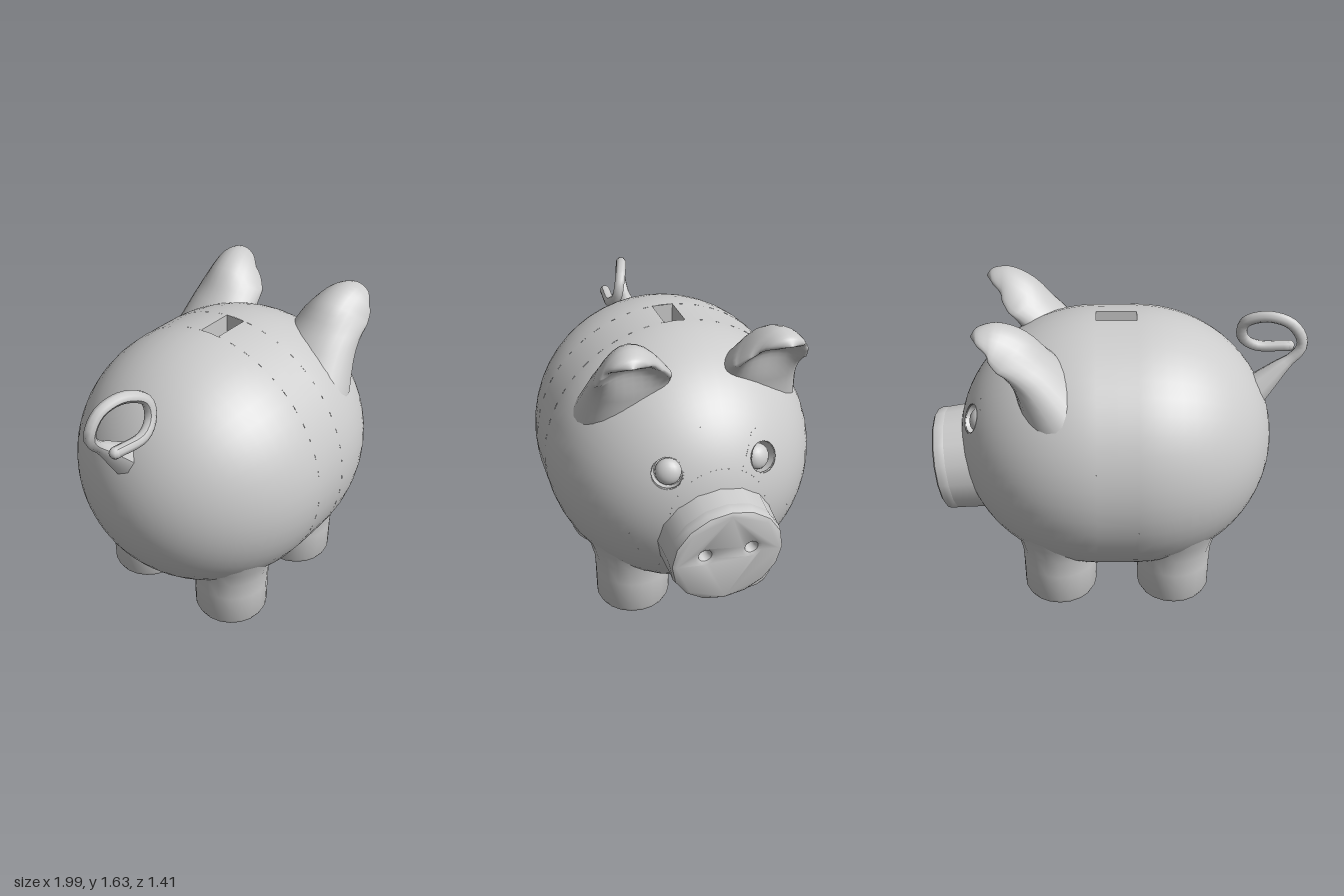
import * as THREE from 'three';
import { toCreasedNormals } from 'three/addons/utils/BufferGeometryUtils.js';
import { ParametricGeometry } from 'three/addons/geometries/ParametricGeometry.js';

const grey = new THREE.MeshStandardMaterial({ color: 0xcccccc });
const greyDouble = new THREE.MeshStandardMaterial({ color: 0xcccccc, side: THREE.DoubleSide });
const greyInside = new THREE.MeshStandardMaterial({ color: 0xcccccc, side: THREE.BackSide });
const { PI, sin, cos, abs, max } = Math;
const R = 0.705, MID = 0.21;            // body radius, length of the straight middle
const EYE_S = MID + 1.067, EYE_PHI = PI / 4, DS = 0.15, DPHI = 0.3;
const SLOT_PHI = 0.078;

function mesh(parent, name, geometry, material = grey) {
  const m = new THREE.Mesh(geometry, material);
  m.name = name;
  parent.add(m);
  return m;
}

// Barrel surface along x: s runs from rear to front, phi turns from the top towards +z
function bodyPoint(s, phi, target) {
  let x = -0.1 + s, r = R;
  if (s < 0) { x = -0.1 + 0.73 * sin(s); r = R * cos(s); }
  else if (s > MID) { x = 0.11 + 0.74 * sin(s - MID); r = R * cos(s - MID); }
  return target.set(x, 0.8 + r * cos(phi), r * sin(phi));
}

function bodyPatch(s0, s1, p0, p1, across, along) {
  return new ParametricGeometry((u, v, t) =>
    bodyPoint(s0 + (s1 - s0) * v, p0 + (p1 - p0) * u, t), across, along);
}

// Body patch around an eye, from a square outside to a round hole
function eyePatch(phi) {
  return new ParametricGeometry((u, v, t) => {
    const c = cos(u * 2 * PI), s = sin(u * 2 * PI);
    const k = (1 - v) / max(abs(c), abs(s)) + v * 0.7;
    bodyPoint(EYE_S + s * k * DS, phi + c * k * DPHI, t);
  }, 32, 4);
}

function makeBody() {
  const body = new THREE.Group();
  body.name = 'body';
  const end = PI / 2 - 0.001, sA = EYE_S - DS, sB = EYE_S + DS;
  const a = EYE_PHI - DPHI, b = EYE_PHI + DPHI;
  mesh(body, 'rearBody', bodyPatch(-end, 0, 0, 2 * PI, 48, 16));
  mesh(body, 'middleBody', bodyPatch(0, MID, SLOT_PHI, 2 * PI - SLOT_PHI, 48, 2));
  mesh(body, 'frontBody', bodyPatch(MID, sA, 0, 2 * PI, 48, 12));
  mesh(body, 'forehead', bodyPatch(sA, sB, -a, a, 10, 4));
  mesh(body, 'cheeks', bodyPatch(sA, sB, b, 2 * PI - b, 40, 4));
  mesh(body, 'face', bodyPatch(sB, MID + end, 0, 2 * PI, 48, 5));
  for (const side of [1, -1]) mesh(body, 'eyeSurround', eyePatch(side * EYE_PHI));

  // Coin slot: open-topped box seen from the inside
  const box = new THREE.BoxGeometry(MID, 0.1, 2 * R * sin(SLOT_PHI));
  box.setIndex([...box.index.array].filter((_, i) => i < 12 || i >= 18));
  box.clearGroups();
  mesh(body, 'coinSlot', box, greyInside).position.set(0.005, 0.8 + R * cos(SLOT_PHI) - 0.05, 0);
  return body;
}

// Socket with a flattened eyeball
function makeEye(side) {
  const eye = new THREE.Group();
  eye.name = side > 0 ? 'leftEye' : 'rightEye';
  bodyPoint(EYE_S, side * EYE_PHI, eye.position);
  const p = eye.position;
  eye.lookAt(p.x + (p.x - 0.11) / 0.74 ** 2, p.y + (p.y - 0.8) / R ** 2, p.z + p.z / R ** 2);
  const wall = [[0, -0.06], [0.07, -0.06], [0.078, 0]].map(q => new THREE.Vector2(...q));
  mesh(eye, 'eyeSocket', toCreasedNormals(new THREE.LatheGeometry(wall, 24).rotateX(PI / 2), 0.7), greyDouble);
  const ball = mesh(eye, 'eyeball', new THREE.SphereGeometry(0.064, 20, 12));
  ball.scale.z = 0.7;
  ball.position.z = -0.045;
  return eye;
}

// Tilted snout disc with two sunken nostrils
function makeSnout() {
  const snout = new THREE.Group();
  snout.name = 'snout';
  const disc = new THREE.Shape().absarc(0, 0, 0.26, 0, 2 * PI);
  for (const x of [0.117, -0.117])
    disc.holes.push(new THREE.Path().absarc(x, 0.035, 0.052, 0, 2 * PI, true));
  const plate = new THREE.ExtrudeGeometry(disc, {
    depth: 0.03, bevelSize: 0.025, bevelThickness: 0.035, bevelSegments: 2, curveSegments: 8
  });
  mesh(snout, 'snoutPlate', toCreasedNormals(plate, 0.6));
  mesh(snout, 'snoutBase', new THREE.CylinderGeometry(0.285, 0.3, 0.25, 16).rotateX(PI / 2)).position.z = -0.125;
  snout.rotation.set(0, PI / 2, -0.115, 'ZYX');
  snout.position.set(0.902, 0.652, 0);
  return snout;
}

// Hooded ear: oval sections along a curve, sides drooping forward
function earGeometry(side) {
  const curve = pts => new THREE.CatmullRomCurve3(pts.map(p => new THREE.Vector3(...p)));
  const spine = curve([[0.3, 1.15, 0.33], [0.41, 1.37, 0.33], [0.49, 1.52, 0.34],
    [0.59, 1.585, 0.36], [0.665, 1.582, 0.375], [0.7, 1.573, 0.38]]);
  // half width, half thickness, droop
  const size = curve([[0.25, 0.19, 0], [0.2, 0.12, 0.03], [0.18, 0.07, 0.1],
    [0.145, 0.045, 0.08], [0.085, 0.03, 0.02], [0.002, 0.002, 0]]);
  return new ParametricGeometry((u, v, t) => {
    const c = spine.getPoint(v), d = spine.getTangent(v), q = size.getPoint(v);
    const w = cos(u * 2 * PI) * side, n = sin(u * 2 * PI) * q.y - w * w * q.z;
    const len = Math.hypot(d.x, d.y);
    t.set(c.x - d.y / len * n, c.y + d.x / len * n, side * c.z + w * q.x * side * side);
  }, 28, 20);
}

// Curled tail, thick where it leaves the body
function tailGeometry() {
  const path = new THREE.CatmullRomCurve3([
    [-0.7, 1.05, -0.02], [-0.84, 1.19, -0.01], [-0.965, 1.33, 0], [-0.91, 1.44, 0.01],
    [-0.785, 1.475, 0.04], [-0.67, 1.425, 0.08], [-0.665, 1.335, 0.1],
    [-0.74, 1.275, 0.12], [-0.92, 1.275, 0.11]
  ].map(p => new THREE.Vector3(...p)));
  const rings = 40, sides = 8;
  const tube = new THREE.TubeGeometry(path, rings, 0.03, sides);
  const pos = tube.attributes.position, p = new THREE.Vector3();
  for (let i = 0; i < pos.count; i++) {
    const u = Math.floor(i / (sides + 1)) / rings;
    const c = path.getPointAt(u);
    p.fromBufferAttribute(pos, i).sub(c).multiplyScalar(1 + 2.2 * max(0, 1 - u / 0.25)).add(c);
    pos.setXYZ(i, p.x, p.y, p.z);
  }
  tube.computeVertexNormals();
  return { tube, tip: path.getPoint(1) };
}

export function createModel() {
  const model = new THREE.Group();
  model.name = 'piggyBank';
  model.add(makeBody(), makeSnout());

  for (const side of [1, -1]) {
    model.add(makeEye(side));
    mesh(model, side > 0 ? 'leftEar' : 'rightEar', earGeometry(side), greyDouble);
  }

  // Stubby legs with a soft lower edge, widening into the belly
  const leg = new THREE.LatheGeometry([[0, 0], [0.16, 0], [0.185, 0.01], [0.198, 0.035],
    [0.2, 0.2], [0.205, 0.3], [0.225, 0.38], [0.25, 0.45]].map(q => new THREE.Vector2(...q)), 20);
  const legGeometry = toCreasedNormals(leg, 0.7);
  for (const [x, name] of [[0.32, 'frontLeg'], [-0.305, 'rearLeg']])
    for (const z of [0.305, -0.305])
      mesh(model, name, legGeometry, greyDouble).position.set(x, 0, z);

  const { tube, tip } = tailGeometry();
  mesh(model, 'tail', tube);
  mesh(model, 'tailTip', new THREE.SphereGeometry(0.03, 8, 6)).position.copy(tip);
  return model;
}
